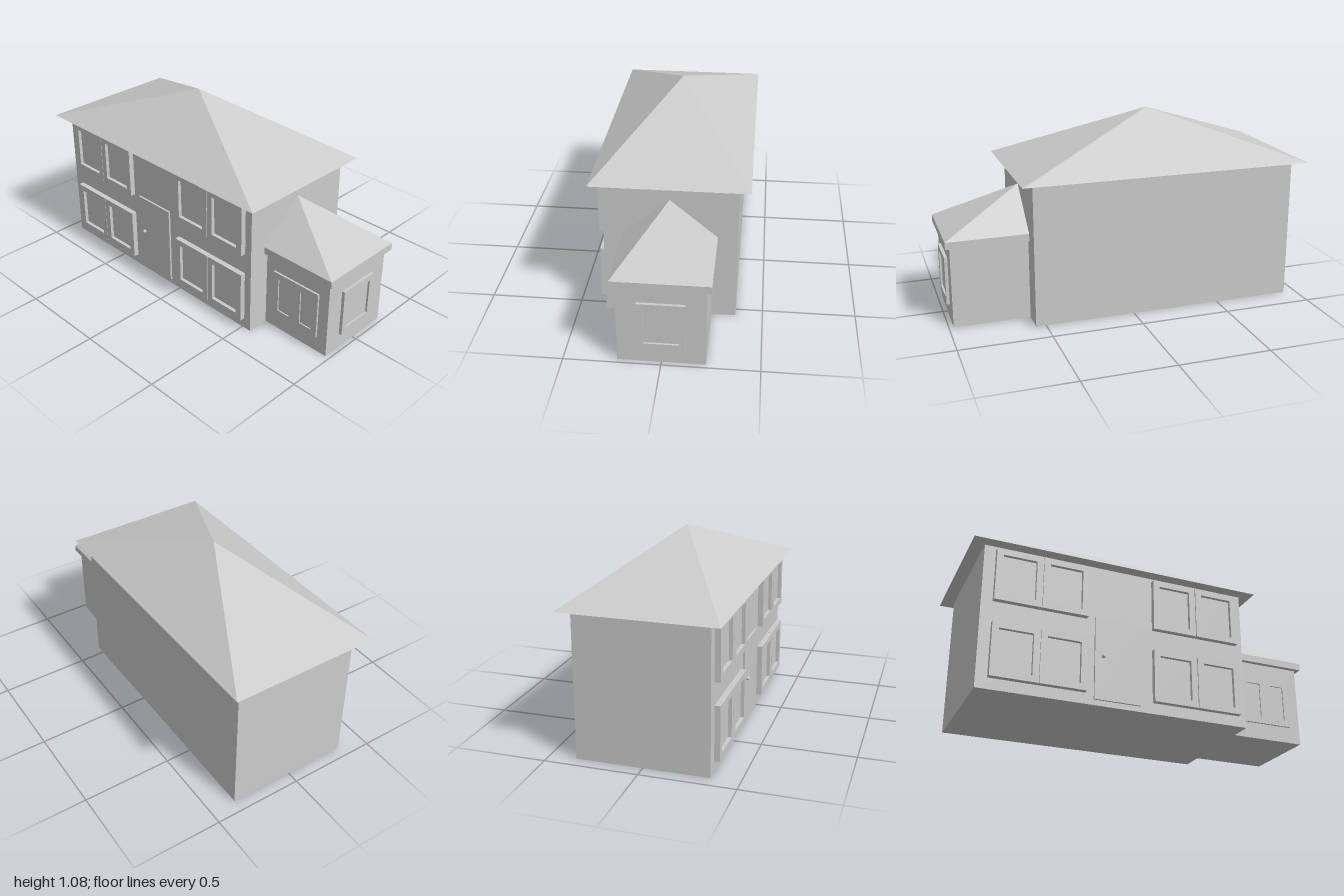
import * as THREE from 'three';

const material = new THREE.MeshStandardMaterial({ color: 0xcccccc, flatShading: true });

function add(parent, name, geometry) {
  const mesh = new THREE.Mesh(geometry, material);
  mesh.name = name;
  parent.add(mesh);
  return mesh;
}

// Box given by its limits on each axis
function block(x0, x1, y0, y1, z0, z1) {
  return new THREE.BoxGeometry(x1 - x0, y1 - y0, z1 - z0)
    .translate((x0 + x1) / 2, (y0 + y1) / 2, (z0 + z1) / 2);
}

// Four-sided roof with a closed underside
function hipRoof(x0, x1, halfZ, y, apexX, apexY) {
  const a = [x0, y, halfZ], b = [x1, y, halfZ], c = [x1, y, -halfZ], d = [x0, y, -halfZ];
  const top = [apexX, apexY, 0];
  const faces = [a, b, top, b, c, top, c, d, top, d, a, top, a, d, c, a, c, b];
  const geometry = new THREE.BufferGeometry();
  geometry.setAttribute('position', new THREE.Float32BufferAttribute(faces.flat(), 3));
  geometry.computeVertexNormals();
  return geometry;
}

function rectangle(path, x0, x1, y0, y1) {
  path.moveTo(x0, y0);
  path.lineTo(x1, y0);
  path.lineTo(x1, y1);
  path.lineTo(x0, y1);
  path.closePath();
  return path;
}

// Frame centred on x = y = 0 facing +z, with recessed panes [x0, x1, y0, y1]
function makeWindow(name, width, height, depth, panes) {
  const group = new THREE.Group();
  group.name = name;
  const shape = rectangle(new THREE.Shape(), -width / 2, width / 2, -height / 2, height / 2);
  for (const p of panes) {
    shape.holes.push(rectangle(new THREE.Path(), ...p));
    add(group, 'pane', block(...p, 0, depth * 0.35));
  }
  add(group, 'frame', new THREE.ExtrudeGeometry(shape, { depth, bevelEnabled: false }));
  return group;
}

export function createModel() {
  const house = new THREE.Group();
  house.name = 'house';

  // Main building
  add(house, 'mainWalls', block(-0.93, 0.555, 0, 0.79, -0.355, 0.35));
  add(house, 'mainRoof', hipRoof(-1, 0.62, 0.415, 0.79, -0.19, 1.08));

  // Side extension with eaves band and half hip roof
  add(house, 'extensionWalls', block(0.555, 0.975, 0, 0.45, -0.225, 0.225));
  add(house, 'extensionEaves', block(0.555, 1, 0.45, 0.49, -0.25, 0.25));
  add(house, 'extensionRoof', hipRoof(0.555, 1, 0.25, 0.49, 0.555, 0.7));

  // Paired front windows on two storeys
  for (const y of [0.2075, 0.6225]) {
    for (const x of [-0.744, -0.491, 0.132, 0.387]) {
      const w = makeWindow('frontWindow', 0.251, 0.295, 0.03, [[-0.09, 0.09, -0.113, 0.113]]);
      w.position.set(x, y, 0.35);
      house.add(w);
    }
  }

  // Extension windows
  const double = makeWindow('extensionFrontWindow', 0.3, 0.27, 0.011,
    [[-0.115, -0.035, -0.1, 0.1], [0.035, 0.115, -0.1, 0.1]]);
  double.position.set(0.762, 0.225, 0.225);
  house.add(double);

  const side = makeWindow('extensionSideWindow', 0.244, 0.27, 0.017, [[-0.09, 0.09, -0.102, 0.102]]);
  side.rotation.y = Math.PI / 2;
  side.position.set(0.975, 0.225, 0);
  house.add(side);

  // Front door and handle
  add(house, 'door', block(-0.32, -0.065, 0.03, 0.485, 0.35, 0.361));
  add(house, 'doorHandle', new THREE.SphereGeometry(0.011, 10, 8)).position.set(-0.275, 0.27, 0.367);

  return house;
}
